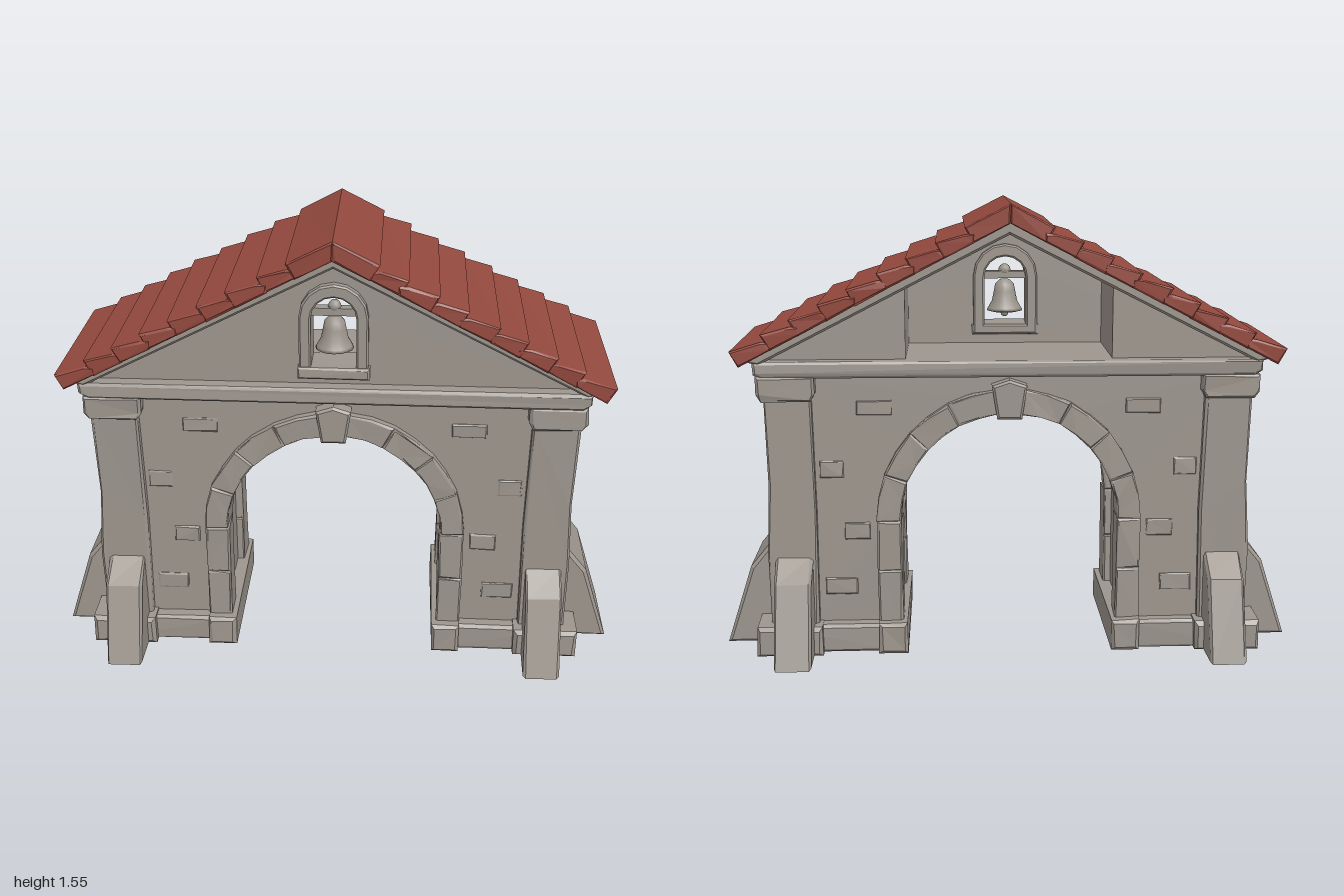
import * as THREE from 'three';

const stone = new THREE.MeshStandardMaterial({ color: 0x9d968e });
stone.name = 'weathered grey stone';
const tile = new THREE.MeshStandardMaterial({ color: 0x94493e });
tile.name = 'red roof planks';

// repeatable value in -1..1 from a position, so that shared corners move together
function hash(x, y, z) {
  const s = Math.sin(Math.round(x * 500) * 12.99 + Math.round(y * 500) * 78.23 + Math.round(z * 500) * 37.72) * 43758.55;
  return 2 * (s - Math.floor(s)) - 1;
}

// hand-hewn look: nudge corners a little, keep the ground flat
function hew(geo, amount) {
  const p = geo.attributes.position;
  for (let i = 0; i < p.count; i++) {
    const x = p.getX(i), y = p.getY(i), z = p.getZ(i);
    const dy = y < 0.004 ? 0 : hash(y, z, x) * amount;
    p.setXYZ(i, x + hash(x, y, z) * amount, y + dy, z + hash(z, x, y) * amount);
  }
  geo.computeVertexNormals();
  return geo;
}

// outline in x,y pulled from z0 to z1, with optional chamfer and hole
function slab(points, z0, z1, bevel = 0, hole = null) {
  const toV = ([x, y]) => new THREE.Vector2(x, y);
  const shape = new THREE.Shape(points.map(toV));
  if (hole) shape.holes.push(new THREE.Path(hole.map(toV)));
  const geo = new THREE.ExtrudeGeometry(shape, {
    depth: z1 - z0 - 2 * bevel, bevelEnabled: bevel > 0,
    bevelSize: bevel, bevelOffset: -bevel, bevelThickness: bevel, bevelSegments: 1,
  });
  geo.translate(0, 0, z0 + bevel);
  return geo;
}

const rect = (x0, x1, y0, y1) => [[x0, y0], [x1, y0], [x1, y1], [x0, y1]];

// points on an arc about (0, cy)
function arc(r, cy, a0, a1, n) {
  return Array.from({ length: n + 1 }, (_, i) => {
    const a = a0 + (a1 - a0) * i / n;
    return [r * Math.cos(a), cy + r * Math.sin(a)];
  });
}

export function createModel() {
  const model = new THREE.Group();
  model.name = 'bellGate';
  const add = (name, geo, mat = stone, rough = 0) => {
    const mesh = new THREE.Mesh(rough ? hew(geo, rough) : geo, mat);
    mesh.name = name;
    model.add(mesh);
    return mesh;
  };
  const spring = 0.47;

  // main wall with its arched opening
  add('archWall', slab([
    [0.78, 0], [0.78, 0.98], [-0.78, 0.98], [-0.78, 0], [-0.4, 0],
    ...arc(0.4, spring, Math.PI, 0, 14), [0.4, 0],
  ], -0.22, 0.22));

  for (const sx of [-1, 1]) {
    const m = pts => pts.map(([x, y]) => [x * sx, y]);

    // base course
    add('wallBase', slab(m(rect(0.42, 0.78, 0, 0.1)), -0.265, 0.265, 0.01), stone, 0.003);
    add('jambBase', slab(m(rect(0.355, 0.455, 0, 0.11)), -0.29, 0.29, 0.012), stone, 0.003);

    // side buttress
    add('sideButtress', slab(m([[0.74, 0], [1, 0], [0.91, 0.28], [0.84, 0.365], [0.74, 0.37]]), -0.155, 0.155, 0.012));

    for (const sz of [-1, 1]) {
      const span = (a, b) => sz > 0 ? [a, b] : [-b, -a];

      // corner pilaster with base and capital
      add('pilaster', slab(m([[0.665, 0.05], [0.83, 0.05], [0.835, 0.36], [0.822, 0.6], [0.832, 0.92], [0.67, 0.92], [0.66, 0.5]]),
        ...span(0.12, 0.25), 0.008), stone, 0.003);
      add('pilasterBase', slab(m(rect(0.65, 0.875, 0, 0.105)), ...span(0.1, 0.3), 0.012), stone, 0.003);
      add('capital', slab(m([[0.67, 0.895], [0.835, 0.895], [0.85, 0.92], [0.85, 0.98], [0.655, 0.98], [0.655, 0.92]]),
        ...span(0.115, 0.27), 0.008), stone, 0.003);

      // front and back buttress
      const butt = slab([[0.22, 0], [0.43, 0], [0.34, 0.275], [0.25, 0.345], [0.22, 0.345]].map(([u, y]) => [u * sz, y]),
        sx > 0 ? -0.805 : 0.68, sx > 0 ? -0.68 : 0.805, 0.008);
      butt.rotateY(-Math.PI / 2);
      add('buttress', butt, stone, 0.003);

      // jamb stones
      [[0.1, 0.29], [0.29, spring]].forEach(([y0, y1]) =>
        add('jambStone', slab(m(rect(0.372, 0.455, y0, y1)), ...span(0.13, 0.25), 0.006), stone, 0.003));

      // arch stones
      const count = 4, end = Math.PI / 2 - 0.1;
      for (let i = 0; i < count; i++) {
        const a0 = end * i / count, a1 = end * (i + 1) / count;
        add('archStone', slab(m([...arc(0.375, spring, a0, a1, 2), ...arc(0.458, spring, a1, a0, 2)]),
          ...span(0.13, 0.25), 0.005), stone, 0.003);
      }

      // slightly raised wall stones
      [[0.53, 0.64, 0.2, 0.26], [0.48, 0.57, 0.4, 0.46], [0.57, 0.65, 0.62, 0.68], [0.4, 0.52, 0.84, 0.89]].forEach(([a, b, c, d]) =>
        add('raisedStone', slab(m(rect(a, b, c, d)), ...span(0.215, 0.226), 0.004), stone, 0.002));
    }
  }

  // keystones on both faces
  for (const sz of [-1, 1]) {
    add('keystone', slab([[-0.042, 0.83], [0.042, 0.83], [0.06, 0.945], [0, 0.965], [-0.06, 0.945]],
      sz > 0 ? 0.12 : -0.275, sz > 0 ? 0.275 : -0.12, 0.008));
  }

  // cornice
  add('cornice', slab([[-0.83, 0.975], [0.83, 0.975], [0.86, 0.99], [0.86, 1.03], [-0.86, 1.03], [-0.86, 0.99]], -0.27, 0.27, 0.008), stone, 0.003);

  // gable: pierced front wall and two solid ends around an open loft at the back
  const under = x => 1.46 - 0.512 * Math.abs(x);
  const opening = [[-0.075, 1.1], [0.075, 1.1], ...arc(0.075, 1.27, 0, Math.PI, 8)];
  add('gableFront', slab([[-0.84, 1.025], [0.84, 1.025], [0, under(0)]], 0.13, 0.22, 0, opening));
  for (const sx of [-1, 1]) {
    add('gableEnd', slab([[0.35 * sx, 1.025], [0.84 * sx, 1.025], [0.35 * sx, under(0.35)]], -0.22, 0.13));
  }

  // stone edge below the roof
  add('rakingEdge', slab([[-0.84, 1.02], [0, 1.45], [0.84, 1.02], [0.89, 1.035], [0, 1.497], [-0.89, 1.035]], -0.27, 0.27, 0.008));

  // bell window surround and sill
  add('windowFrame', slab([[-0.115, 1.065], [0.115, 1.065], ...arc(0.115, 1.275, 0, Math.PI, 8)], 0.11, 0.25, 0.006, opening));
  add('windowSill', slab(rect(-0.12, 0.12, 1.06, 1.1), 0.12, 0.258, 0.006), stone, 0.002);

  // bell on its beam
  const beam = new THREE.BoxGeometry(0.17, 0.026, 0.035);
  beam.translate(0, 1.275, 0.175);
  add('bellBeam', beam);
  const bell = new THREE.LatheGeometry([
    [0.001, 1.145], [0.046, 1.14], [0.065, 1.145], [0.06, 1.155], [0.046, 1.18], [0.039, 1.215], [0.034, 1.24], [0.018, 1.257], [0.001, 1.26],
  ].map(([r, y]) => new THREE.Vector2(r, y)), 16);
  bell.translate(0, 0, 0.175);
  add('bell', bell);
  const clapper = new THREE.SphereGeometry(0.014, 10, 8);
  clapper.translate(0, 1.135, 0.175);
  add('clapper', clapper);
  const knob = new THREE.SphereGeometry(0.022, 10, 8);
  knob.translate(0, 1.292, 0.175);
  add('bellCrown', knob);

  // roof of overlapping planks, each lower edge standing proud
  const base = x => 1.487 - 0.52 * x;
  const edges = [0, 0.15, 0.245, 0.345, 0.44, 0.54, 0.635, 0.73, 0.825, 0.93];
  for (const sx of [-1, 1]) {
    for (let i = 0; i < edges.length - 1; i++) {
      const a = edges[i], b = edges[i + 1], foot = b - 0.03;
      const head = i ? a - 0.035 : 0;
      const profile = [[head, base(head)], [foot, base(foot)], [b, base(b) + 0.068], [a, base(a) + (i ? 0.046 : 0.066)]];
      if (i) profile.push([head, base(head) + 0.03]);
      const trim = 0.004 * hash(i, sx, 1);
      add('roofPlank', slab(profile.map(([x, y]) => [x * sx, y]), -0.307 + trim, 0.305 + trim, 0.006), tile, 0.002);
    }
  }
  return model;
}
